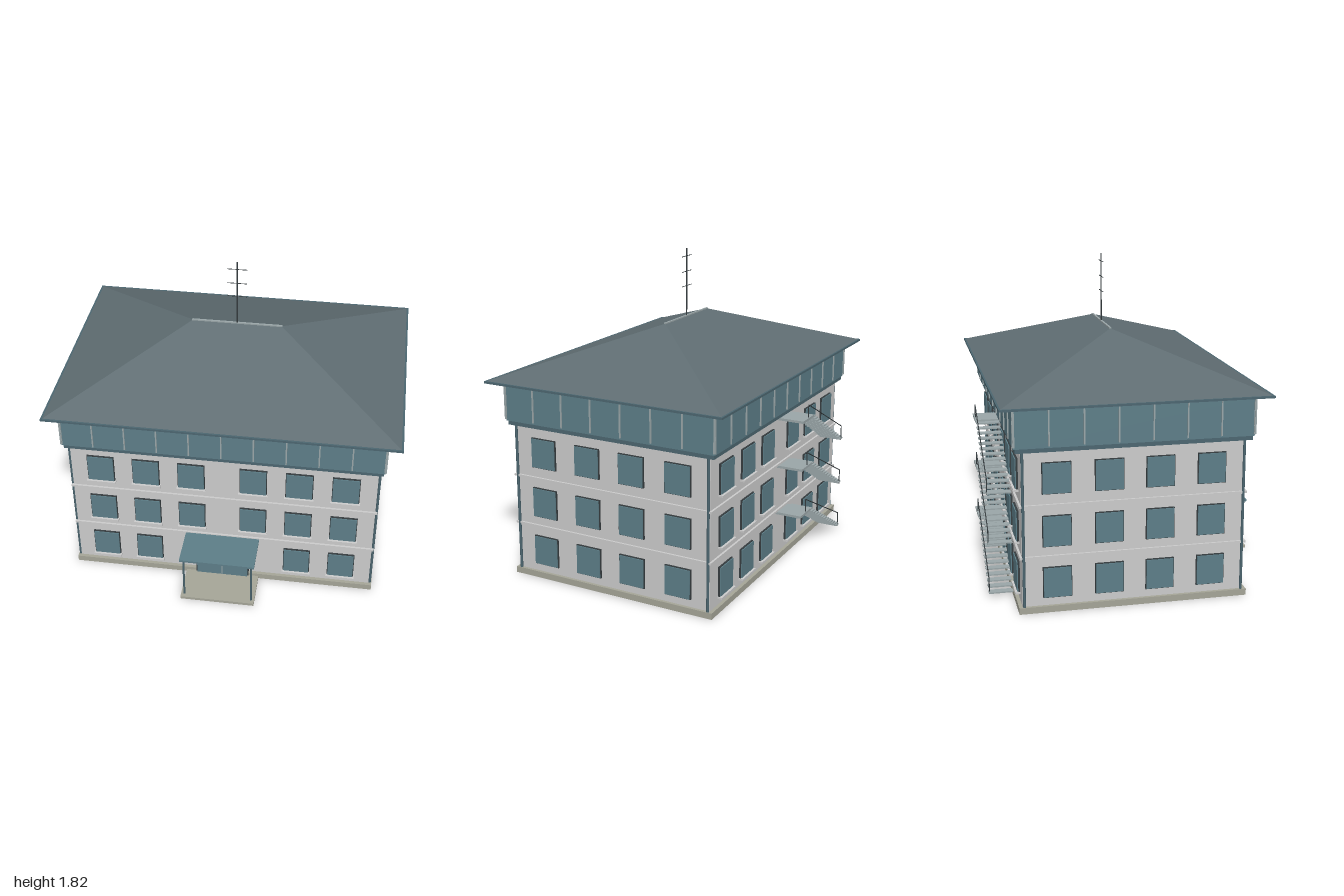
import * as THREE from 'three';
import { ConvexGeometry } from 'three/addons/geometries/ConvexGeometry.js';

const material = (color) => new THREE.MeshStandardMaterial({ color });
const wall = material(0xcccccc);
const glass = material(0x5d7e88);
const trim = material(0x4c6670);
const slate = material(0x5f6d72);
const stone = material(0xa5a598);
const metal = material(0x9aa6a8);
const dark = material(0x363d40);

const CZ = -0.045; // centre line of the building in z
const HX = 0.885, HZ = 0.615; // half size of the walls
const FLOORS = [0.168, 0.458, 0.752]; // window centre heights
const COLUMNS = [-0.71, -0.445, -0.18, 0.18, 0.445, 0.71];

function add(parent, name, geometry, mat, x = 0, y = 0, z = 0) {
  const mesh = new THREE.Mesh(geometry, mat);
  mesh.name = name;
  mesh.position.set(x, y, z);
  parent.add(mesh);
  return mesh;
}

// Box given by its centre x, z and its bottom and top
function box(parent, name, mat, w, d, y0, y1, x = 0, z = CZ) {
  return add(parent, name, new THREE.BoxGeometry(w, y1 - y0, d), mat, x, (y0 + y1) / 2, z);
}

function rod(parent, name, mat, a, b, r) {
  const from = new THREE.Vector3(...a), to = new THREE.Vector3(...b);
  const dir = to.clone().sub(from);
  const mesh = add(parent, name, new THREE.CylinderGeometry(r, r, dir.length(), 8), mat);
  mesh.position.copy(from).add(to).multiplyScalar(0.5);
  mesh.quaternion.setFromUnitVectors(new THREE.Vector3(0, 1, 0), dir.normalize());
  return mesh;
}

function subgroup(parent, name) {
  const g = new THREE.Group();
  g.name = name;
  parent.add(g);
  return g;
}

// Window facing +z, with its back on the wall plane
function makeWindow(parent, x, y, z, turn, sill) {
  const g = subgroup(parent, 'window');
  g.position.set(x, y, z);
  g.rotation.y = turn;
  box(g, 'windowFrame', dark, 0.158, 0.012, -0.087, 0.087, 0, 0.004);
  box(g, 'windowPane', glass, 0.15, 0.02, -0.083, 0.083, 0, 0.006);
  if (sill) box(g, 'windowSill', wall, 0.17, 0.035, -0.096, -0.085, 0, 0.01);
}

function makeWindows(root) {
  const g = subgroup(root, 'windows');
  FLOORS.forEach((y, floor) => {
    for (const x of COLUMNS) {
      const atEntrance = floor === 0 && Math.abs(x) < 0.2;
      if (!atEntrance) makeWindow(g, x, y, CZ + HZ, 0, true);
      makeWindow(g, x, y, CZ - HZ, Math.PI, true);
    }
    for (const dz of [-0.425, -0.14, 0.14, 0.425])
      for (const s of [-1, 1]) makeWindow(g, s * HX, y, CZ + dz, s * Math.PI / 2, false);
  });
}

// Glazed storey with mullions, overhanging the walls
function makeGallery(root) {
  const g = subgroup(root, 'glazedTopStorey');
  const gx = 0.918, gz = 0.653;
  box(g, 'galleryBase', trim, 1.82, 1.29, 0.9, 0.935);
  box(g, 'galleryGlass', glass, gx * 2, gz * 2, 0.925, 1.137);
  box(g, 'galleryNeck', wall, 1.8, 1.23, 1.13, 1.155);
  for (const s of [-1, 1]) {
    for (let i = 0; i <= 10; i++)
      box(g, 'mullion', metal, 0.008, 0.014, 0.935, 1.137, -gx + i * gx / 5, CZ + s * gz);
    for (let i = 0; i <= 7; i++)
      box(g, 'mullion', metal, 0.014, 0.008, 0.935, 1.137, s * gx, CZ - gz + i * gz * 2 / 7);
  }
}

function makeRoof(root) {
  const g = subgroup(root, 'roof');
  box(g, 'eaves', trim, 2, 1.465, 1.148, 1.16);
  const points = [];
  for (const sx of [-1, 1]) {
    for (const sz of [-1, 1]) points.push(new THREE.Vector3(sx * 0.992, 1.159, CZ + sz * 0.725));
    points.push(new THREE.Vector3(sx * 0.26, 1.42, CZ));
  }
  add(g, 'hippedRoof', new ConvexGeometry(points), slate);
  box(g, 'ridgeCap', metal, 0.53, 0.012, 1.415, 1.425);

  const mast = subgroup(g, 'antenna');
  rod(mast, 'mast', dark, [0, 1.41, CZ], [0, 1.82, CZ], 0.004);
  for (const y of [1.6, 1.685, 1.775])
    rod(mast, 'crossbar', dark, [-0.057, y, CZ], [0.057, y, CZ], 0.0022);
}

function makeEntrance(root) {
  const g = subgroup(root, 'entrance');
  box(g, 'porchSlab', stone, 0.44, 0.26, 0, 0.017, 0, 0.69);
  box(g, 'canopy', glass, 0.44, 0.255, 0.303, 0.315, 0, 0.6925);
  box(g, 'doorFrame', dark, 0.318, 0.03, 0.017, 0.287, 0, 0.58);
  box(g, 'doorSplit', metal, 0.006, 0.036, 0.02, 0.282, 0, 0.59);
  for (const s of [-1, 1]) {
    rod(g, 'porchPost', trim, [s * 0.2, 0.015, 0.79], [s * 0.2, 0.305, 0.79], 0.006);
    box(g, 'doorLeaf', glass, 0.15, 0.03, 0.02, 0.282, s * 0.078, 0.59);
    box(g, 'doorHandle', dark, 0.007, 0.012, 0.105, 0.16, s * 0.02, 0.611);
  }
}

// Three parallel flights, each with a landing, on the back wall
function makeFireStairs(root) {
  const g = subgroup(root, 'fireStairs');
  const steps = 14, rise = 0.29, x0 = -0.635, x1 = -0.125;
  const run = (x1 - x0) / steps;
  for (let f = 0; f < 3; f++) {
    const base = 0.012 + f * rise, top = base + rise;
    const flight = subgroup(g, 'flight');
    for (let i = 0; i < steps; i++) {
      const y = base + (i + 0.5) * rise / steps;
      box(flight, 'tread', metal, run + 0.006, 0.135, y - 0.004, y + 0.004, x0 + (i + 0.5) * run, -0.747);
    }
    box(flight, 'landing', metal, 0.157, 0.16, top - 0.01, top + 0.004, -0.048, -0.738);
    rod(flight, 'handrail', dark, [-0.62, base + 0.09, -0.811], [-0.06, top + 0.08, -0.811], 0.003);
    rod(flight, 'railPost', dark, [-0.62, base, -0.811], [-0.62, base + 0.09, -0.811], 0.003);
    rod(flight, 'railPost', dark, [-0.06, top, -0.811], [-0.06, top + 0.08, -0.811], 0.003);
  }
}

export function createModel() {
  const root = new THREE.Group();
  root.name = 'officeBuilding';

  // Main block
  box(root, 'plinth', stone, 1.805, 1.27, 0, 0.036);
  box(root, 'walls', wall, HX * 2, HZ * 2, 0.03, 0.91);
  for (const y of [0.315, 0.602])
    box(root, 'stringCourse', wall, HX * 2 + 0.024, HZ * 2 + 0.024, y - 0.006, y + 0.006);

  // Drainpipes at the corners
  for (const sx of [-1, 1])
    for (const sz of [-1, 1])
      rod(root, 'drainpipe', trim, [sx * 0.892, 0.036, CZ + sz * 0.606], [sx * 0.892, 0.9, CZ + sz * 0.606], 0.008);

  makeWindows(root);
  makeGallery(root);
  makeRoof(root);
  makeEntrance(root);
  makeFireStairs(root);
  return root;
}
